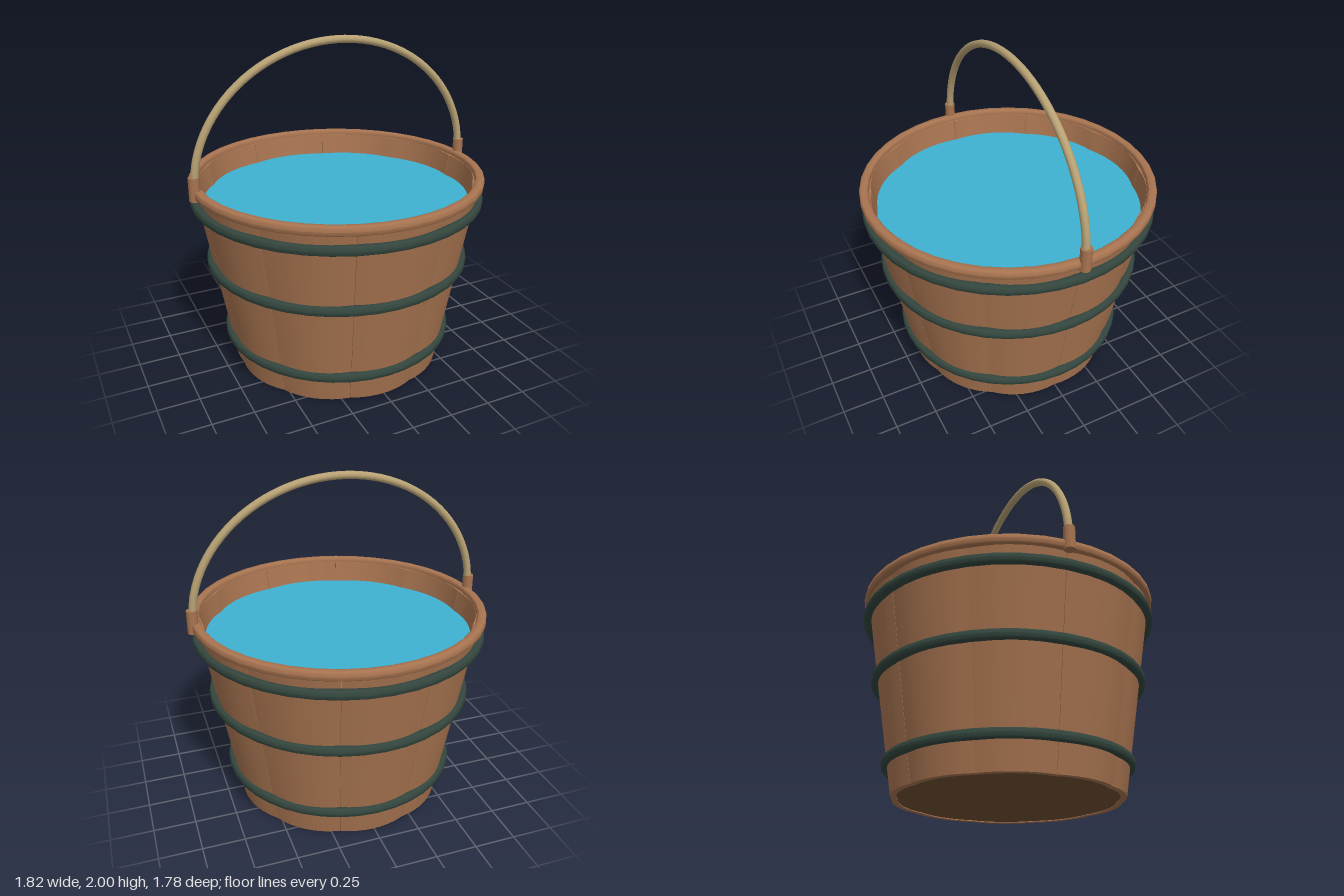
import * as THREE from 'three';

const mat = (color) => new THREE.MeshStandardMaterial({ color });

// Outer wall radius, widening with height
const wallRadius = (y) => 0.66 + 0.175 * y;

// One curved stave: a box bent round the axis, slightly bulged in the middle
function staveGeometry(count, height, thickness) {
  const geo = new THREE.BoxGeometry(1, height, 1, 8, 4, 1);
  const p = geo.attributes.position;
  for (let i = 0; i < p.count; i++) {
    const u = p.getX(i);
    const y = p.getY(i) + height / 2;
    const angle = u * (Math.PI * 2 / count) * 0.995;
    const r = wallRadius(y) - 0.014 * (2 * u) ** 2 - (p.getZ(i) < 0 ? thickness : 0);
    p.setXYZ(i, r * Math.sin(angle), y, r * Math.cos(angle));
  }
  geo.computeVertexNormals();
  return geo;
}

// Ring with a rounded-square section
function ringGeometry(radius, y, half) {
  const points = [];
  const soften = (v) => Math.sign(v) * Math.abs(v) ** 0.6;
  for (let i = 0; i <= 12; i++) {
    const a = (i / 12) * Math.PI * 2;
    points.push(new THREE.Vector2(radius + half * soften(Math.cos(a)), y + half * soften(Math.sin(a))));
  }
  return new THREE.LatheGeometry(points, 40);
}

export function createModel() {
  const bucket = new THREE.Group();
  bucket.name = 'bucket';
  const wood = mat(0xa87450);
  const iron = mat(0x33463e);
  const add = (name, geo, material, parent = bucket) => {
    const mesh = new THREE.Mesh(geo, material);
    mesh.name = name;
    parent.add(mesh);
    return mesh;
  };

  // Staves
  const staves = new THREE.Group();
  staves.name = 'staves';
  bucket.add(staves);
  const count = 10;
  const stave = staveGeometry(count, 1.17, 0.035);
  for (let i = 0; i < count; i++) {
    add('stave', stave, wood, staves).rotation.y = (i / count) * Math.PI * 2;
  }

  // Floor and water
  add('floor', new THREE.CylinderGeometry(0.64, 0.635, 0.05, 40), mat(0x6f4f33)).position.y = 0.03;
  const water = add('water', new THREE.CircleGeometry(0.808, 48), mat(0x3fb0d2));
  water.rotation.x = -Math.PI / 2;
  water.position.y = 1.04;

  // Rim and hoops
  add('rim', ringGeometry(0.86, 1.172, 0.028), wood);
  for (const [radius, y] of [[0.858, 1.06], [0.783, 0.665], [0.693, 0.18]]) {
    add('hoop', ringGeometry(radius, y, 0.027), iron);
  }

  // Handle sockets on both sides
  for (const side of [-1, 1]) {
    add('handleSocket', new THREE.CylinderGeometry(0.033, 0.033, 0.14, 10), wood)
      .position.set(side * 0.878, 1.207, 0);
  }

  // Arched handle
  const arch = [];
  for (let i = 0; i <= 16; i++) {
    const a = (i / 16) * Math.PI;
    arch.push(new THREE.Vector3(0.878 * Math.cos(a), 1.2 + 0.777 * Math.sin(a), 0));
  }
  add('handle', new THREE.TubeGeometry(new THREE.CatmullRomCurve3(arch), 48, 0.023, 10), mat(0xb8a274));

  return bucket;
}
